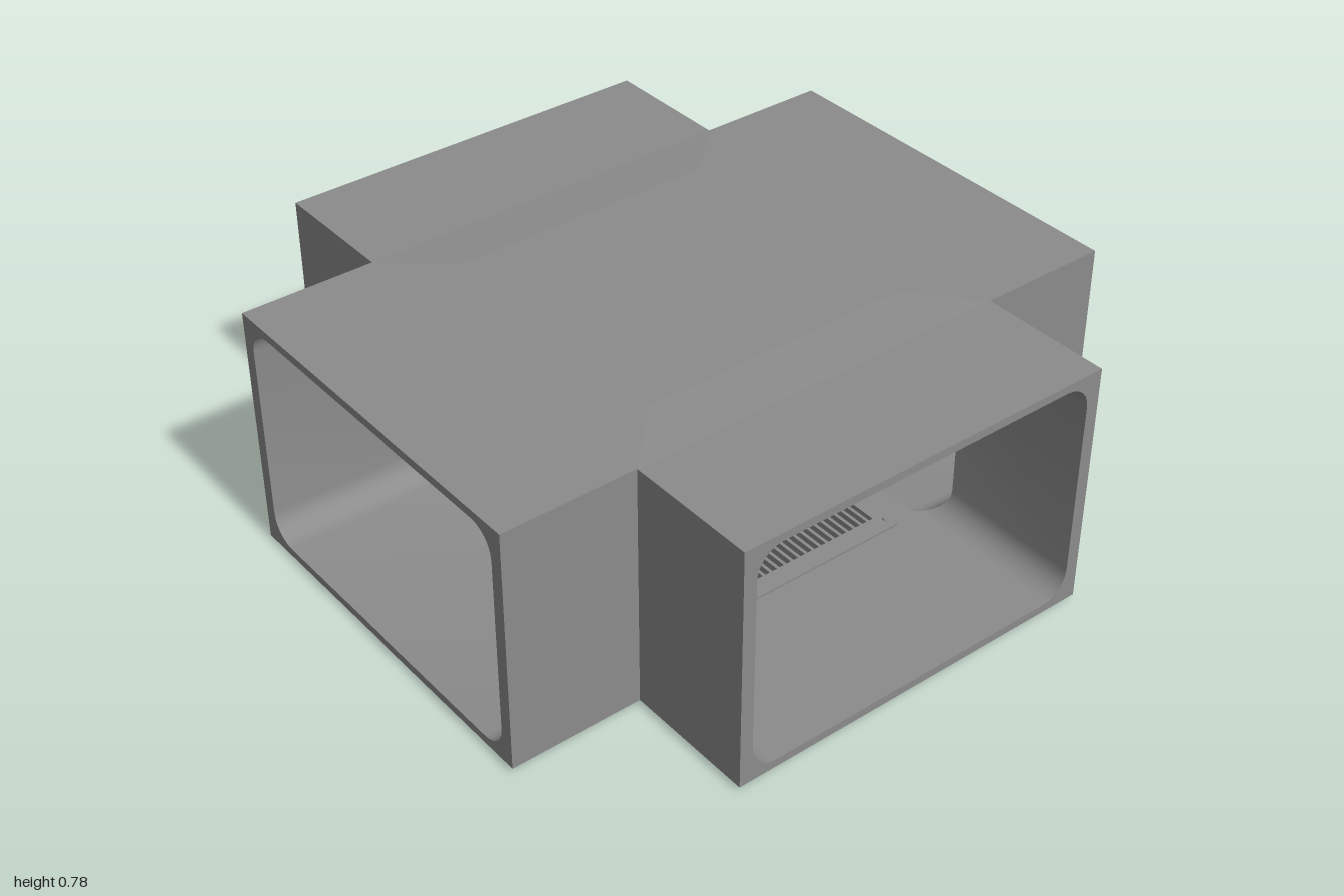
import * as THREE from 'three';
import { toCreasedNormals } from 'three/addons/utils/BufferGeometryUtils.js';

const H = 0.595, Y0 = 0.015, Y1 = 0.77;               // outer half width, underside, roof
const W = 0.555, F = 0.04, C = 0.745, R = 0.08;       // tunnel half width, floor, ceiling, corner radius
const S = W - R;                                      // half size of the flat centre
const HX = 0.44, HZ = 0.36;                           // half size of the drain hole

// Geometry from quads, corners anticlockwise seen from the front
function quads(list) {
  const pos = [];
  for (const [a, b, c, d] of list) pos.push(...a, ...b, ...c, ...a, ...c, ...d);
  const g = new THREE.BufferGeometry();
  g.setAttribute('position', new THREE.Float32BufferAttribute(pos, 3));
  g.computeVertexNormals();
  return g;
}

// Rounded tunnel profile, anticlockwise
function tunnelProfile() {
  const pts = [];
  const corners = [[S, F + R, -0.5], [S, C - R, 0], [-S, C - R, 0.5], [-S, F + R, 1]];
  for (const [cx, cy, start] of corners) {
    for (let i = 0; i <= 6; i++) {
      const a = (start + i / 12) * Math.PI;
      pts.push(new THREE.Vector2(cx + R * Math.cos(a), cy + R * Math.sin(a)));
    }
  }
  return pts;
}

function rectPath(path, x, y) {
  path.moveTo(-x, -y);
  path.lineTo(x, -y);
  path.lineTo(x, y);
  path.lineTo(-x, y);
  path.closePath();
  return path;
}

function roundedRect(x, y, r) {
  const s = new THREE.Shape();
  s.moveTo(-x + r, -y);
  s.lineTo(x - r, -y);
  s.absarc(x - r, -y + r, r, -Math.PI / 2, 0);
  s.lineTo(x, y - r);
  s.absarc(x - r, y - r, r, 0, Math.PI / 2);
  s.lineTo(-x + r, y);
  s.absarc(-x + r, y - r, r, Math.PI / 2, Math.PI);
  s.lineTo(-x, -y + r);
  s.absarc(-x + r, -y + r, r, Math.PI, Math.PI * 1.5);
  return s;
}

// Flat horizontal slab with a rectangular hole, from y = bottom to y = top
function slab(shape, hx, hz, bottom, top) {
  shape.holes.push(rectPath(new THREE.Path(), hx, hz));
  const g = new THREE.ExtrudeGeometry(shape, { depth: top - bottom, bevelEnabled: false, curveSegments: 6 });
  g.rotateX(-Math.PI / 2);
  g.translate(0, bottom, 0);
  return g;
}

export function createModel() {
  const model = new THREE.Group();
  model.name = 'ductJunction';
  const metal = new THREE.MeshStandardMaterial({ color: 0x8c8c8c });
  metal.name = 'grey metal';

  const add = (parent, name, geometry) => {
    const m = new THREE.Mesh(geometry, metal);
    m.name = name;
    parent.add(m);
    return m;
  };

  // Arm pieces, built facing +z
  const T = 0.42, YT = 0.78, YB = 0.005;
  const shell = quads([
    [[H, Y0, 1], [H, Y0, H], [H, Y1, H], [H, Y1, 1]],
    [[-H, Y0, H], [-H, Y0, 1], [-H, Y1, 1], [-H, Y1, H]],
    [[-H, Y1, 1], [H, Y1, 1], [H, Y1, H], [-H, Y1, H]],
    [[-H, Y0, H], [H, Y0, H], [H, Y0, 1], [-H, Y0, 1]],
    // shallow slopes towards the raised centre panels
    [[-H, Y1, H], [H, Y1, H], [T, YT, T], [-T, YT, T]],
    [[-S, YB, S], [S, YB, S], [H, Y0, H], [-H, Y0, H]],
  ]);

  const profile = tunnelProfile();
  // Lining mitred where the two tunnels cross
  const lining = toCreasedNormals(quads(profile.map((p, i) => {
    const q = profile[(i + 1) % profile.length];
    return [[p.x, p.y, 1], [q.x, q.y, 1], [q.x, q.y, Math.abs(q.x)], [p.x, p.y, Math.abs(p.x)]];
  })), 0.6);

  const rimShape = new THREE.Shape([[-H, Y0], [H, Y0], [H, Y1], [-H, Y1]].map(p => new THREE.Vector2(...p)));
  rimShape.holes.push(new THREE.Path(profile));
  const rim = new THREE.ShapeGeometry(rimShape);
  rim.translate(0, 0, 1);

  ['frontArm', 'leftArm', 'backArm', 'rightArm'].forEach((name, i) => {
    const arm = new THREE.Group();
    arm.name = name;
    arm.rotation.y = i * Math.PI / 2;
    add(arm, 'outerShell', shell);
    add(arm, 'tunnelLining', lining);
    add(arm, 'openingRim', rim);
    model.add(arm);
  });

  // Centre panels
  add(model, 'roofPanel', new THREE.PlaneGeometry(2 * T, 2 * T).rotateX(-Math.PI / 2).translate(0, YT, 0));
  add(model, 'ceilingPanel', new THREE.PlaneGeometry(2 * S, 2 * S).rotateX(Math.PI / 2).translate(0, C, 0));
  add(model, 'floorPanel', slab(rectPath(new THREE.Shape(), S, S), HX, HZ, YB, F));

  // Floor grate: upper plate, nested frames underneath
  const grate = new THREE.Group();
  grate.name = 'floorGrate';
  model.add(grate);
  add(grate, 'upperFrame', slab(roundedRect(0.5, 0.425, 0.04), HX, HZ, F, F + 0.007));
  [[0.53, 0.44], [0.5, 0.415], [0.47, 0.39]].forEach(([x, z], i) => {
    add(grate, 'lowerFrame' + (i + 1), slab(rectPath(new THREE.Shape(), x, z), x - 0.018, z - 0.016, 0, 0.013));
  });

  // Corner screws
  const screw = new THREE.CylinderGeometry(0.011, 0.013, 0.006, 12);
  for (const x of [-0.465, 0.465]) {
    for (const z of [-0.39, 0.39]) add(grate, 'screw', screw).position.set(x, F + 0.009, z);
  }

  // Deep slats across, thin rods front to back
  const slat = new THREE.BoxGeometry(2 * HX, 0.03, 0.01);
  for (let i = 0; i < 28; i++) {
    add(grate, 'slat', slat).position.set(0, 0.026, -HZ + (i + 0.5) * 2 * HZ / 28);
  }
  const rod = new THREE.BoxGeometry(0.005, 0.006, 2 * HZ);
  for (let i = 0; i < 44; i++) {
    add(grate, 'rod', rod).position.set(-HX + (i + 0.5) * 2 * HX / 44, 0.008, 0);
  }
  return model;
}
